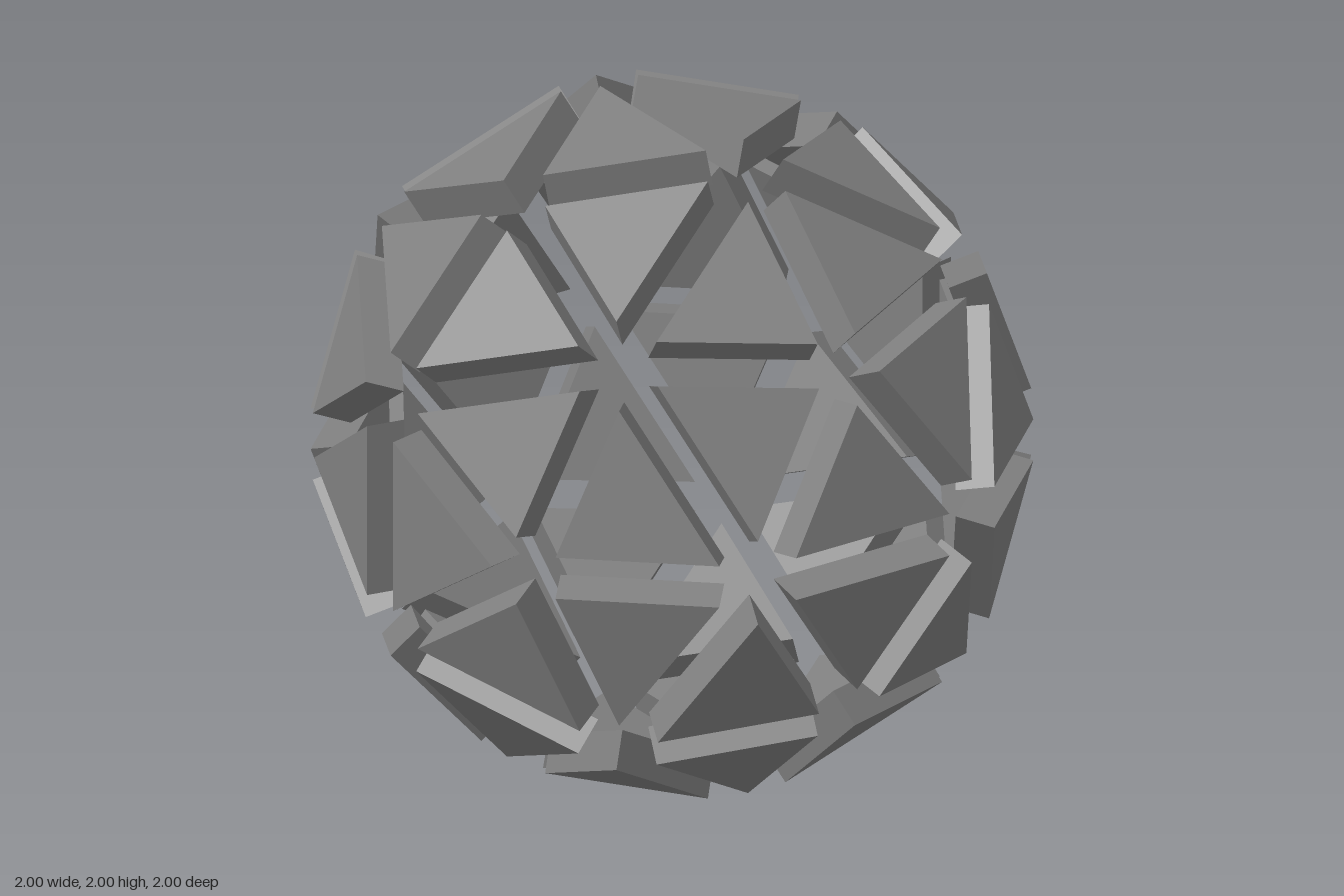
import * as THREE from 'three';

const PHI = (1 + Math.sqrt(5)) / 2;
const SHRINK = 0.736;     // tile size relative to the full face, leaves the gaps
const OUTER = 0.9926;     // distance of the outer tile plane from the centre
const THICKNESS = 0.115;

// The three cyclic permutations of (a, b, c) with every sign
function signedCycles(a, b, c) {
  const points = [];
  for (const sa of a ? [1, -1] : [1]) for (const sb of b ? [1, -1] : [1]) for (const sc of c ? [1, -1] : [1]) {
    const [x, y, z] = [a * sa, b * sb, c * sc];
    points.push(new THREE.Vector3(x, y, z), new THREE.Vector3(z, x, y), new THREE.Vector3(y, z, x));
  }
  return points;
}

export function createModel() {
  const model = new THREE.Group();
  model.name = 'explodedTriangleBall';
  const ball = new THREE.Group();
  ball.name = 'ball';
  ball.position.y = 1;
  model.add(ball);
  const material = new THREE.MeshStandardMaterial({ color: 0x808080, flatShading: true });

  // Dodecahedron corners (unit radius) and the low pyramid tips over its pentagons
  const corners = [...signedCycles(1 / PHI, 0, PHI)];
  for (const x of [1, -1]) for (const y of [1, -1]) for (const z of [1, -1]) corners.push(new THREE.Vector3(x, y, z));
  corners.forEach((p) => p.normalize());
  const tips = signedCycles(0, 1, PHI).map((p) => p.setLength(0.974));

  // One triangular prism: base edge at the bottom, tip at the top, origin on the axis through the ball's centre
  const half = 0.357 * SHRINK, base = -0.188 * SHRINK, top = 0.335 * SHRINK;
  const shape = new THREE.Shape([
    new THREE.Vector2(-half, base), new THREE.Vector2(half, base), new THREE.Vector2(0, top),
  ]);
  const tileGeometry = new THREE.ExtrudeGeometry(shape, { depth: THICKNESS, bevelEnabled: false });

  // Five tiles round each tip, one per pentagon edge
  tips.forEach((tip, t) => {
    const cluster = new THREE.Group();
    cluster.name = `pentagonCluster${t + 1}`;
    const ring = corners.filter((p) => p.angleTo(tip) < 0.7);
    for (let i = 0; i < ring.length; i++) for (let j = i + 1; j < ring.length; j++) {
      if (ring[i].distanceTo(ring[j]) > 0.8) continue;
      const across = ring[j].clone().sub(ring[i]).normalize();
      const middle = ring[i].clone().add(ring[j]).multiplyScalar(0.5);
      const up = tip.clone().sub(middle).normalize();
      const normal = across.clone().cross(up);
      if (normal.dot(tip) < 0) { across.negate(); normal.negate(); }
      const tile = new THREE.Mesh(tileGeometry, material);
      tile.name = 'triangleTile';
      tile.quaternion.setFromRotationMatrix(new THREE.Matrix4().makeBasis(across, up, normal));
      tile.position.copy(normal).multiplyScalar(OUTER - THICKNESS);
      cluster.add(tile);
    }
    ball.add(cluster);
  });
  return model;
}
